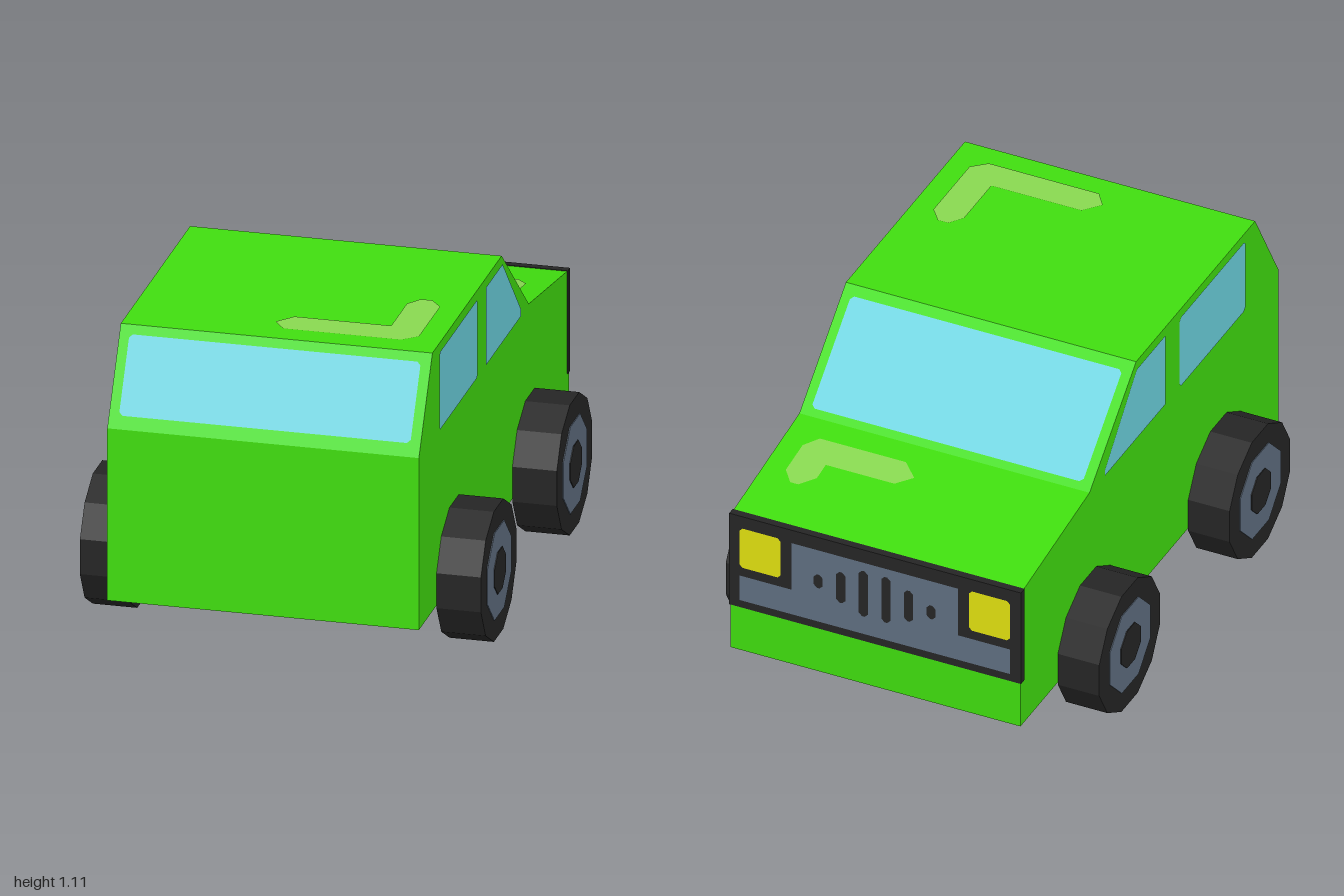
import * as THREE from 'three';

const mat = (name, color) => new THREE.MeshStandardMaterial({ name, color });

export function createModel() {
  const car = new THREE.Group();
  car.name = 'car';
  const green = mat('body green', 0x40dd0f);
  const glass = mat('window blue', 0x6cd3df);
  const shine = mat('highlight green', 0x88d850);
  const black = mat('rubber black', 0x252525);
  const grey = mat('steel grey', 0x5f6e80);
  const yellow = mat('headlight yellow', 0xe0e010);

  const add = (name, geometry, material, parent = car) => {
    const mesh = new THREE.Mesh(geometry, material);
    mesh.name = name;
    parent.add(mesh);
    return mesh;
  };
  const shapeOf = (pts) => new THREE.Shape(pts.map(([a, b]) => new THREE.Vector2(a, b)));

  // Rectangle outline with small cut corners
  const rect = (x0, y0, x1, y1, c = 0.012) => [
    [x0 + c, y0], [x1 - c, y0], [x1, y0 + c], [x1, y1 - c],
    [x1 - c, y1], [x0 + c, y1], [x0, y1 - c], [x0, y0 + c],
  ];

  // Flat painted panel: outline in the (u, v) plane through origin, lifted along the normal
  const panel = (name, pts, material, origin, u, v, lift = 0.003) => {
    const U = new THREE.Vector3(...u).normalize();
    const V = new THREE.Vector3(...v).normalize();
    const N = new THREE.Vector3().crossVectors(U, V);
    const m = new THREE.Matrix4().makeBasis(U, V, N);
    m.setPosition(new THREE.Vector3(...origin).addScaledVector(N, lift));
    add(name, new THREE.ShapeGeometry(shapeOf(pts)).applyMatrix4(m), material);
  };

  // Body: side profile (z, y) extruded across the width
  const W = 0.54;
  const profile = [[1, 0.18], [1, 0.8], [0.82, 1.11], [-0.1, 1.11], [-0.46, 0.8], [-0.994, 0.72], [-0.994, 0.18]];
  const body = new THREE.ExtrudeGeometry(shapeOf(profile.map(([z, y]) => [-z, y])), { depth: 2 * W, bevelEnabled: false });
  body.translate(0, 0, -W).rotateY(Math.PI / 2);
  add('body', body, green);

  // Windscreen and rear window on their slopes
  const frontLen = Math.hypot(0.36, 0.31);
  const rearLen = Math.hypot(0.18, 0.31);
  panel('windscreen', rect(-0.505, 0.06 * frontLen, 0.505, 0.915 * frontLen), glass, [0, 0.8, -0.46], [-1, 0, 0], [0, 0.31, 0.36]);
  panel('rearWindow', rect(-0.505, 0.13 * rearLen, 0.505, 0.905 * rearLen), glass, [0, 0.8, 1], [1, 0, 0], [0, 0.31, -0.18]);

  // Side windows, mirrored
  const rearSide = rect(-0.74, 0.8, -0.23, 1.08);
  const frontSide = [[-0.12, 0.8], [0.345, 0.8], [0.345, 0.825], [0.11, 1.07], [0.1, 1.08], [-0.12, 1.08]];
  for (const s of [1, -1]) {
    const flip = (pts) => pts.map(([a, b]) => [a * s, b]);
    panel('rearSideWindow', flip(rearSide), glass, [s * W, 0, 0], [0, 0, -s], [0, 1, 0]);
    panel('frontSideWindow', flip(frontSide), glass, [s * W, 0, 0], [0, 0, -s], [0, 1, 0]);
  }

  // Bent highlight strokes on roof and bonnet, given as (x, z)
  const roofMark = [[-0.04, 0.68], [0.01, 0.62], [0.345, 0.62], [0.345, 0.41], [0.38, 0.36], [0.42, 0.36],
    [0.46, 0.41], [0.46, 0.69], [0.41, 0.735], [0, 0.735]];
  panel('roofHighlight', roofMark.map(([x, z]) => [x, -z]), shine, [0, 1.11, 0], [1, 0, 0], [0, 0, -1]);
  const hoodMark = [[0.04, -0.61], [0.09, -0.66], [0.345, -0.66], [0.345, -0.73], [0.39, -0.78], [0.42, -0.78],
    [0.46, -0.73], [0.46, -0.6], [0.42, -0.55], [0.1, -0.55]];
  panel('bonnetHighlight', hoodMark.map(([x, z]) => [-x, (z + 0.994) * 1.011]), shine,
    [0, 0.72, -0.994], [-1, 0, 0], [0, 0.08, 0.534]);

  // Nose frame wrapping slightly over the body edges
  const frame = add('noseFrame', new THREE.BoxGeometry(2 * W + 0.006, 0.371, 0.028), black);
  frame.position.set(0, 0.5405, -0.982);

  // Grille, slots and headlights on the nose
  const nose = (name, pts, material, lift) => panel(name, pts, material, [0, 0, -0.996], [-1, 0, 0], [0, 1, 0], lift);
  nose('grille', [[-0.503, 0.385], [0.503, 0.385], [0.503, 0.485], [0.31, 0.485], [0.31, 0.675],
    [-0.31, 0.675], [-0.31, 0.485], [-0.503, 0.485]], grey, 0.002);
  [0.055, 0.125, 0.185, 0.185, 0.125, 0.055].forEach((h, i) => {
    const a = -0.21 + i * 0.084;
    nose('grilleSlot', rect(a - 0.017, 0.55 - h / 2, a + 0.017, 0.55 + h / 2), black, 0.004);
  });
  for (const s of [1, -1]) {
    nose('headlight', rect(s * 0.427 - 0.077, 0.52, s * 0.427 + 0.077, 0.68), yellow, 0.003);
  }

  // Wheels: twelve-sided tyres with hub discs on both faces
  const disc = (apothem, width, sides) => {
    const r = apothem / Math.cos(Math.PI / sides);
    return new THREE.CylinderGeometry(r, r, width, sides).rotateY(Math.PI / sides).rotateZ(Math.PI / 2).toNonIndexed();
  };
  const tyreR = 0.2345;
  const tyre = disc(tyreR, 0.154, 12);
  const hub = disc(0.157, 0.160, 8);
  const cap = disc(0.075, 0.166, 8);
  for (const g of [tyre, hub, cap]) g.computeVertexNormals();
  for (const s of [1, -1]) {
    for (const [label, z] of [['rear', 0.535], ['front', -0.4725]]) {
      const wheel = new THREE.Group();
      wheel.name = label + 'Wheel';
      wheel.position.set(s * 0.618, tyreR, z);
      add('tyre', tyre, black, wheel);
      add('hub', hub, grey, wheel);
      add('hubCap', cap, black, wheel);
      car.add(wheel);
    }
  }
  return car;
}
